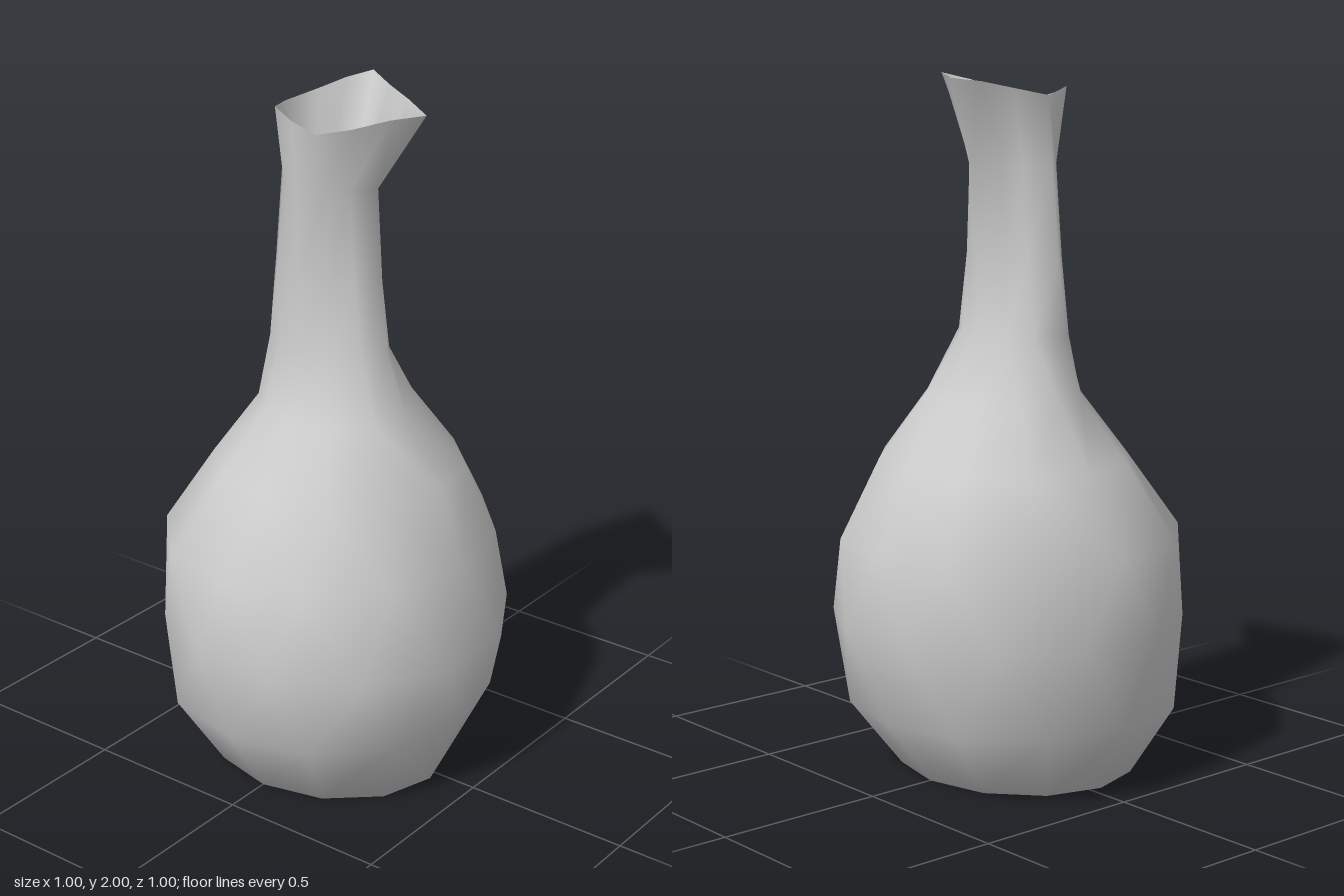
import * as THREE from 'three';

const SIDES = 12;
const FLOOR = 0.06;

// Each ring: height, x range, z range, bulge of the off-axis points, twist in steps
const RINGS = [
  [0.0, -0.36, 0.29, -0.37, 0.37, 1, 0],
  [0.21, -0.48, 0.465, -0.5, 0.45, 1.02, 0],
  [0.45, -0.5, 0.485, -0.49, 0.5, 1.035, 0.5],
  [0.7, -0.48, 0.5, -0.5, 0.43, 1.03, 0],
  [0.92, -0.335, 0.365, -0.37, 0.36, 1.02, 0],
  [1.1, -0.2, 0.24, -0.25, 0.23, 1, 0],
  [1.28, -0.14, 0.14, -0.235, 0.175, 0.92, 0],
  [1.5, -0.14, 0.14, -0.22, 0.155, 0.84, 0],
  [1.76, -0.145, 0.155, -0.2, 0.135, 0.8, 0],
];

// Pulled, uneven lip
const LIP = [
  [0.27, 2, -0.08], [0.17, 2, 0.05], [0.08, 2, 0.18], [-0.02, 2, 0.31],
  [-0.06, 1.98, 0.22], [-0.11, 1.95, 0.13], [-0.15, 1.93, 0.04], [-0.14, 1.95, -0.05],
  [-0.11, 1.97, -0.13], [0.01, 1.95, -0.19], [0.1, 1.97, -0.15], [0.19, 1.99, -0.115],
];

function ringPoints([y, x0, x1, z0, z1, bulge, twist], inset, minY) {
  const points = [];
  for (let k = 0; k < SIDES; k++) {
    const a = ((k + twist) / SIDES) * Math.PI * 2;
    let f = k % 3 || twist ? bulge : 1;
    if (y > 1.4 && k > 9) f *= 0.85; // hollow beside the back ridge
    points.push([
      (x0 + x1) / 2 + ((x1 - x0) / 2 - inset) * Math.cos(a) * f,
      Math.max(y, minY),
      (z0 + z1) / 2 + ((z1 - z0) / 2 - inset) * Math.sin(a) * f,
    ]);
  }
  return points;
}

// Joins a stack of rings into one smooth skin, splitting each quad on its shorter diagonal
function skin(rings) {
  const points = rings.flat();
  const gap = (i, j) => Math.hypot(...points[i].map((v, n) => v - points[j][n]));
  const index = [];
  for (let i = 0; i < rings.length - 1; i++) {
    for (let k = 0; k < SIDES; k++) {
      const a = i * SIDES + k;
      const b = i * SIDES + ((k + 1) % SIDES);
      const c = a + SIDES;
      const d = b + SIDES;
      if (gap(b, c) < gap(a, d)) index.push(a, c, b, b, c, d);
      else index.push(a, c, d, a, d, b);
    }
  }
  const geometry = new THREE.BufferGeometry();
  geometry.setAttribute('position', new THREE.Float32BufferAttribute(points.flat(), 3));
  geometry.setIndex(index);
  geometry.computeVertexNormals();
  return geometry;
}

// A ring drawn in to one point, closing the bottom
const centre = (y) => Array.from({ length: SIDES }, () => [-0.03, y, 0]);

export function createModel() {
  const clay = new THREE.MeshStandardMaterial({ color: 0xcccccc });
  clay.name = 'grey clay';
  const vase = new THREE.Group();
  vase.name = 'vase';

  function add(name, rings) {
    const mesh = new THREE.Mesh(skin(rings), clay);
    mesh.name = name;
    vase.add(mesh);
  }

  // Base, belly and neck up to the lip
  const outer = RINGS.map((r) => ringPoints(r, 0, 0));
  add('outerWall', [centre(0), ...outer, LIP]);

  // Hollow inside, from the lip down to a raised floor
  const inner = RINGS.map((r) => ringPoints(r, r[0] > 0 ? 0.03 : 0, FLOOR));
  add('innerWall', [LIP, ...inner.reverse(), centre(FLOOR)]);

  return vase;
}
